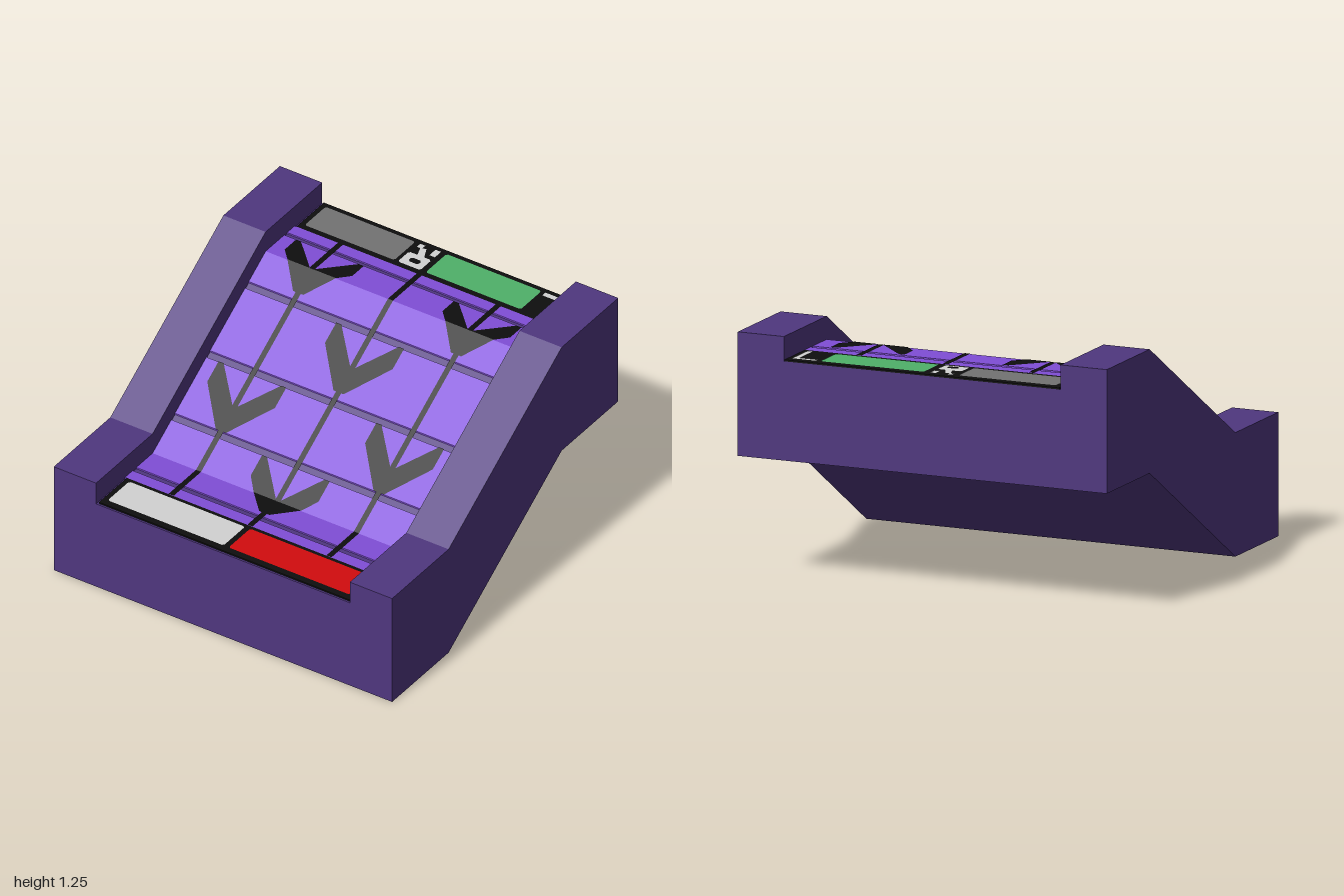
import * as THREE from 'three';

const mat = (name, color, side = THREE.FrontSide) =>
  Object.assign(new THREE.MeshStandardMaterial({ color, side }), { name });

// Height of the sloped deck at depth z
const deckY = z => 0.8125 - 0.625 * THREE.MathUtils.clamp(z, -0.5, 0.5);

// Clip a convex [x, z] polygon to one side of a z line
function clip(poly, limit, sign) {
  const out = [];
  poly.forEach((a, i) => {
    const b = poly[(i + 1) % poly.length];
    const da = (a[1] - limit) * sign, db = (b[1] - limit) * sign;
    if (da >= 0) out.push(a);
    if (da * db < 0) {
      const t = da / (da - db);
      out.push([a[0] + (b[0] - a[0]) * t, limit]);
    }
  });
  return out;
}

// Lay convex polygons over the deck, bending at z = +-0.5, with optional edge walls
function drape(polys, lift, thickness = 0) {
  const pos = [];
  const put = ([x, z], h) => pos.push(x, deckY(z) + h, z);
  for (const poly of polys) {
    for (const [lo, hi] of [[-2, -0.5], [-0.5, 0.5], [0.5, 2]]) {
      const p = clip(clip(poly, lo, 1), hi, -1);
      if (p.length < 3) continue;
      const area = p.reduce((s, a, i) => {
        const b = p[(i + 1) % p.length];
        return s + a[0] * b[1] - b[0] * a[1];
      }, 0);
      if (Math.abs(area) < 1e-7) continue;
      if (area > 0) p.reverse();
      for (let i = 1; i < p.length - 1; i++) [p[0], p[i], p[i + 1]].forEach(v => put(v, lift));
      if (!thickness) continue;
      p.forEach((a, i) => {
        const b = p[(i + 1) % p.length], low = lift - thickness;
        put(a, lift); put(a, low); put(b, low);
        put(a, lift); put(b, low); put(b, lift);
      });
    }
  }
  const g = new THREE.BufferGeometry();
  g.setAttribute('position', new THREE.Float32BufferAttribute(pos, 3));
  g.computeVertexNormals();
  return g;
}

// Rectangle with small cut corners
const rect = (x0, x1, z0, z1, c = 0) => c
  ? [[x0 + c, z0], [x1 - c, z0], [x1, z0 + c], [x1, z1 - c], [x1 - c, z1], [x0 + c, z1], [x0, z1 - c], [x0, z0 + c]]
  : [[x0, z0], [x1, z0], [x1, z1], [x0, z1]];

// Side profile extruded across x; drop lowers its top surface
function profile(x0, x1, drop) {
  const s = new THREE.Shape([
    [-1, 0], [-0.5, 0], [0.5, 0.625], [1, 0.625],
    [1, 1.25 - drop], [0.5, 1.25 - drop], [-0.5, 0.625 - drop], [-1, 0.625 - drop],
  ].map(([x, y]) => new THREE.Vector2(x, y)));
  const g = new THREE.ExtrudeGeometry(s, { depth: x1 - x0, bevelEnabled: false });
  return g.rotateY(Math.PI / 2).translate(x0, 0, 0);
}

export function createModel() {
  const model = new THREE.Group();
  model.name = 'conveyorRamp';
  const frame = mat('frame purple', 0x4f377f);
  const belt = mat('belt purple', 0x804ed6);
  const black = mat('marking black', 0x0e0e0e);
  const white = mat('plate white', 0xd2d2d2);
  const red = mat('plate red', 0xd20c0e);
  const green = mat('plate green', 0x4fb169);
  const grey = mat('plate grey', 0x737373);
  const add = (name, geometry, material) => {
    const m = new THREE.Mesh(geometry, material);
    m.name = name;
    model.add(m);
  };

  // Frame
  add('bed', profile(-0.75, 0.75, 0.125), frame);
  add('leftRail', profile(0.75, 1, 0), frame);
  add('rightRail', profile(-1, -0.75, 0), frame);

  // Belt panels with gaps between them
  const rows = [[-0.757, -0.69], [-0.665, -0.35], [-0.318, -0.008], [0.024, 0.302], [0.334, 0.644], [0.676, 0.743]];
  add('beltPanels', drape(rows.map(([a, b]) => rect(-0.75, 0.75, a, b)), 0.008, 0.008), belt);

  // Black end plates
  add('endPlates', drape([rect(-0.74, 0.747, -1, -0.757), rect(-0.74, 0.747, 0.743, 0.99)], 0.008, 0.008), black);

  // Lengthwise lines
  const lanes = [-0.478, -0.012, 0.455];
  add('laneLines', drape(lanes.map(x => rect(x - 0.015, x + 0.015, -0.757, 0.743)), 0.01), black);

  // Downhill arrows, each from two mirrored halves
  const half = [[0.2, 0], [0.17, 0], [0, 0.17], [0, 0.28], [0.03, 0.28], [0.2, 0.1]];
  const spots = [[0, -0.66], [2, -0.66], [1, -0.32], [0, 0.024], [2, 0.024], [1, 0.337]];
  const arrows = spots.flatMap(([lane, z]) =>
    [1, -1].map(s => half.map(([u, w]) => [lanes[lane] + s * u, z + w])));
  add('arrows', drape(arrows, 0.011), black);

  // Coloured plates at both ends
  const tile = (name, m, ...r) => add(name, drape([rect(...r, 0.01)], 0.012), m);
  tile('frontWhitePlate', white, -0.71, -0.025, 0.767, 0.957);
  tile('frontRedPlate', red, 0.005, 0.72, 0.767, 0.957);
  tile('backGreyPlate', grey, -0.71, -0.18, -0.97, -0.785);
  tile('backGreenPlate', green, 0.005, 0.567, -0.97, -0.785);

  // Small pale marks beside the back plates
  add('cornerMark', drape([rect(0.59, 0.72, -0.97, -0.942), rect(0.69, 0.72, -0.942, -0.785)], 0.012), white);
  add('smallMark', drape([
    rect(-0.16, -0.027, -0.885, -0.785, 0.01),
    rect(-0.15, -0.12, -0.97, -0.94),
    [[-0.13, -0.94], [-0.1, -0.95], [-0.07, -0.885], [-0.11, -0.885]],
    rect(-0.06, -0.027, -0.97, -0.915),
  ], 0.012), white);
  add('smallMarkHole', drape([rect(-0.12, -0.06, -0.85, -0.815, 0.01)], 0.014), black);

  return model;
}
